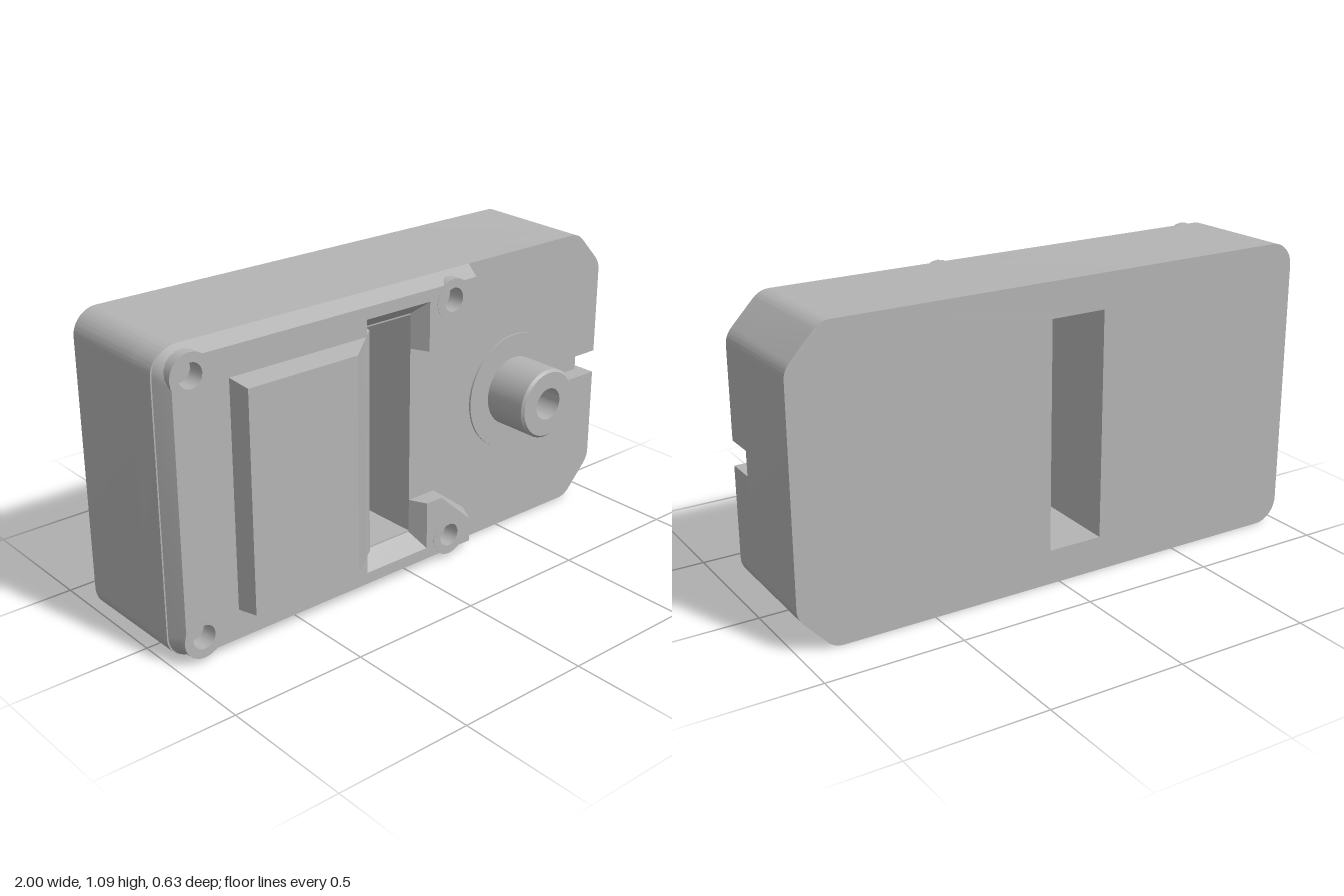
import * as THREE from 'three';
import { toCreasedNormals } from 'three/addons/utils/BufferGeometryUtils.js';

const H = 1.094, MID = H / 2;      // overall height and its middle
const BACK = -0.315, FACE = 0.13, TOP = 0.195; // z levels: back, body face, cover face

export function createModel() {
  const model = new THREE.Group();
  const grey = new THREE.MeshStandardMaterial({ color: 0xb4b4b4 });
  grey.name = 'grey plastic';

  const add = (name, geometry, parent = model) => {
    const mesh = new THREE.Mesh(toCreasedNormals(geometry, 0.5), grey);
    mesh.name = name;
    parent.add(mesh);
    return mesh;
  };
  const box = (name, x0, x1, y0, y1, z0, z1) =>
    add(name, new THREE.BoxGeometry(x1 - x0, y1 - y0, z1 - z0)
      .translate((x0 + x1) / 2, (y0 + y1) / 2, (z0 + z1) / 2));
  const extrude = (shape, z0, z1) =>
    new THREE.ExtrudeGeometry(shape, { depth: z1 - z0, bevelEnabled: false, curveSegments: 10 })
      .translate(0, 0, z0);
  const circlePath = (x, y, r) => new THREE.Path().absarc(x, y, r, 0, Math.PI * 2, true);

  // Body outline: rounded on one end, clipped corners on the other, window cut through
  function bodyShape(notched) {
    const s = new THREE.Shape();
    const r = 0.09;
    s.moveTo(-1 + r, 0);
    s.lineTo(0.84, 0);
    s.quadraticCurveTo(0.875, 0, 0.9, 0.027);
    s.lineTo(0.975, 0.108);
    s.quadraticCurveTo(1, 0.135, 1, 0.165);
    if (notched) {
      s.lineTo(1, 0.505);
      s.lineTo(0.79, 0.505);
      s.lineTo(0.79, 0.595);
      s.lineTo(1, 0.595);
    }
    s.lineTo(1, H - 0.165);
    s.quadraticCurveTo(1, H - 0.135, 0.975, H - 0.108);
    s.lineTo(0.9, H - 0.027);
    s.quadraticCurveTo(0.875, H, 0.84, H);
    s.lineTo(-1 + r, H);
    s.absarc(-1 + r, H - r, r, Math.PI / 2, Math.PI, false);
    s.lineTo(-1, r);
    s.absarc(-1 + r, r, r, Math.PI, Math.PI * 1.5, false);
    s.holes.push(new THREE.Path([
      [-0.17, 0.128], [-0.17, H - 0.128], [0.04, H - 0.128], [0.04, 0.128],
    ].map(p => new THREE.Vector2(...p))));
    return s;
  }

  // Slight draft: the body narrows in height towards the face
  function draft(geometry) {
    const p = geometry.attributes.position;
    for (let i = 0; i < p.count; i++) {
      const k = 1 - 0.013 * (p.getZ(i) - BACK) / (FACE - BACK);
      p.setY(i, MID + (p.getY(i) - MID) * k);
    }
    return geometry;
  }
  add('bodyRear', draft(extrude(bodyShape(false), BACK, 0.02)));
  add('bodyFront', draft(extrude(bodyShape(true), 0.02, FACE)));

  // Steps in the floor of the end slot
  box('slotFloor', 0.81, 0.97, 0.5, 0.6, 0.015, 0.065);
  box('slotStep', 0.785, 0.81, 0.5, 0.6, 0.015, 0.095);

  // Raised C-shaped cover, sloping from a base loop to a smaller top loop
  function coverLoop(inset, half) {
    const loop = [];
    const r = 0.09;
    const arc = (cy, a0) => {
      for (let i = 0; i <= 8; i++) {
        const a = a0 + (i / 8) * Math.PI / 2;
        loop.push(new THREE.Vector2(-0.995 + inset + r + r * Math.cos(a), cy + r * Math.sin(a)));
      }
    };
    const edge = 0.007 + inset;
    loop.push(new THREE.Vector2(half[0][0], H - edge));
    arc(H - edge - r, Math.PI / 2);
    arc(edge + r, Math.PI);
    loop.push(new THREE.Vector2(half[0][0], edge));
    half.forEach(([x, y]) => loop.push(new THREE.Vector2(x, y)));
    [...half].reverse().forEach(([x, y]) => loop.push(new THREE.Vector2(x, H - y)));
    return loop;
  }
  const base = coverLoop(0, [[0.31, 0.14], [0.16, 0.257], [0.04, 0.257], [0.04, 0.128], [-0.17, 0.128]]);
  const top = coverLoop(0.027, [[0.285, 0.125], [0.14, 0.257], [0.07, 0.257], [0.07, 0.077], [-0.21, 0.077]]);

  const cover = new THREE.Group();
  cover.name = 'cover';
  model.add(cover);

  const wall = [];
  base.forEach((a, i) => {
    const j = (i + 1) % base.length;
    const b = base[j], c = top[j], d = top[i];
    wall.push(a.x, a.y, FACE, b.x, b.y, FACE, c.x, c.y, TOP);
    wall.push(a.x, a.y, FACE, c.x, c.y, TOP, d.x, d.y, TOP);
  });
  const wallGeometry = new THREE.BufferGeometry();
  wallGeometry.setAttribute('position', new THREE.Float32BufferAttribute(wall, 3));
  add('coverSides', wallGeometry, cover);

  const screws = [-0.9, 0.18].flatMap(x => [[x, 0.094], [x, H - 0.094]]);
  const capShape = new THREE.Shape(top);
  screws.forEach(([x, y]) => capShape.holes.push(circlePath(x, y, 0.05)));
  add('coverFace', new THREE.ShapeGeometry(capShape, 16).translate(0, 0, TOP), cover);

  // Screw bosses with open holes
  screws.forEach(([x, y]) => {
    const ring = new THREE.Shape().absarc(x, y, 0.076, 0, Math.PI * 2, false);
    ring.holes.push(circlePath(x, y, 0.043));
    add('screwBoss', extrude(ring, FACE - 0.01, TOP + 0.001), cover);
  });

  // Raised block with a long slope running down into the window, ends drawn in slightly
  const profile = new THREE.Shape([
    [-0.768, FACE], [-0.752, 0.28], [-0.32, 0.28], [-0.17, 0.16], [-0.17, FACE],
  ].map(([x, z]) => new THREE.Vector2(x, -z)));
  const block = new THREE.ExtrudeGeometry(profile, { depth: 1, bevelEnabled: false })
    .rotateX(-Math.PI / 2);
  const bp = block.attributes.position;
  for (let i = 0; i < bp.count; i++) {
    const z = bp.getZ(i);
    const halfHeight = 0.395 + (0.28 - z) * 0.15;
    bp.setY(i, 0.55 + (bp.getY(i) - 0.5) * 2 * halfHeight);
  }
  add('raisedBlock', block);

  // Thin disc and bored output shaft
  const disc = add('shaftDisc', new THREE.CylinderGeometry(0.22, 0.22, 0.012, 48).rotateX(Math.PI / 2));
  disc.position.set(0.55, 0.55, 0.131);
  const shaftProfile = [
    [0.131, 0.12], [0.131, 0.305], [0.122, 0.315], [0.06, 0.315], [0.06, 0.17], [0, 0.17],
  ].map(p => new THREE.Vector2(...p));
  const shaft = add('shaft', new THREE.LatheGeometry(shaftProfile, 40).rotateX(Math.PI / 2));
  shaft.position.set(0.55, 0.55, 0);

  return model;
}
